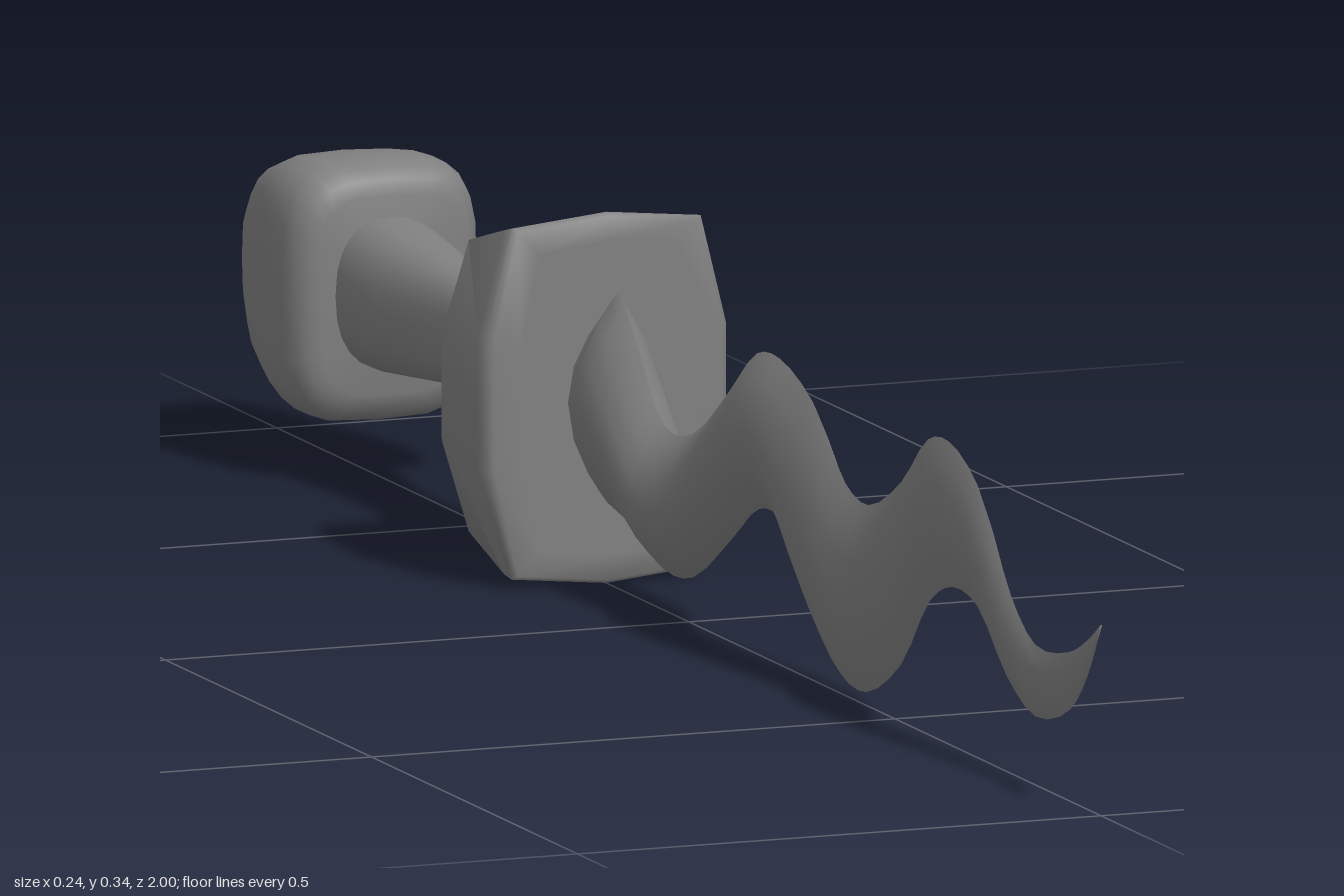
import * as THREE from 'three';
import { toCreasedNormals } from 'three/addons/utils/BufferGeometryUtils.js';

const material = new THREE.MeshStandardMaterial({ color: 0x808080 });
const MID = 0.172; // height of the long axis

// Skin closed rings (counter-clockwise seen from +z, running towards -z) and cap both ends.
function loft(name, rings, crease) {
  const n = rings[0].length;
  const pos = rings.flat(2);
  const index = [];
  for (let i = 0; i < rings.length - 1; i++) {
    for (let j = 0; j < n; j++) {
      const a = i * n + j, b = i * n + (j + 1) % n;
      index.push(a, a + n, b, b, a + n, b + n);
    }
  }
  [0, rings.length - 1].forEach((r) => {
    const centre = pos.length / 3;
    for (let k = 0; k < 3; k++) pos.push(rings[r].reduce((s, p) => s + p[k], 0) / n);
    for (let j = 0; j < n; j++) {
      const a = r * n + j, b = r * n + (j + 1) % n;
      if (r === 0) index.push(centre, a, b);
      else index.push(centre, b, a);
    }
  });
  const geometry = new THREE.BufferGeometry();
  geometry.setAttribute('position', new THREE.Float32BufferAttribute(pos, 3));
  geometry.setIndex(index);
  const mesh = new THREE.Mesh(toCreasedNormals(geometry, crease), material);
  mesh.name = name;
  return mesh;
}

// Ring points from a function of angle.
const ring = (n, fn) => Array.from({ length: n }, (_, j) => fn(j / n * Math.PI * 2));
const power = (v, e) => Math.sign(v) * Math.abs(v) ** e;

// Superellipse ring: squareness 1 is round, smaller is boxier.
const oval = (z, rx, ry, squareness, cy = MID) => ring(24, (a) => [
  rx * power(Math.cos(a), squareness), cy + ry * power(Math.sin(a), squareness), z,
]);

export function createModel() {
  const group = new THREE.Group();
  group.name = 'wavyDagger';

  // Wavy blade: upper edge z, y, then lower edge z, y
  const edges = [
    [1.0, 0.176, 1.0, 0.174], [0.965, 0.155, 0.97, 0.127], [0.92, 0.137, 0.925, 0.086],
    [0.84, 0.13, 0.84, 0.065], [0.78, 0.165, 0.77, 0.09], [0.70, 0.25, 0.70, 0.14],
    [0.63, 0.277, 0.64, 0.147], [0.58, 0.27, 0.585, 0.125], [0.515, 0.22, 0.515, 0.055],
    [0.435, 0.185, 0.43, 0.015], [0.38, 0.195, 0.37, 0.02], [0.30, 0.255, 0.30, 0.06],
    [0.22, 0.28, 0.22, 0.135], [0.165, 0.275, 0.17, 0.135], [0.10, 0.23, 0.11, 0.10],
    [0.01, 0.175, 0.01, 0.045], [-0.06, 0.17, -0.06, 0.04], [-0.115, 0.22, -0.135, 0.065],
    [-0.17, 0.27, -0.19, 0.075], [-0.19, 0.255, -0.22, 0.08], [-0.24, 0.24, -0.25, 0.09],
  ];
  const edgeCurve = (k) => new THREE.CatmullRomCurve3(
    edges.map((e) => new THREE.Vector3(0, e[k + 1], e[k]))).getPoints((edges.length - 1) * 3);
  const upper = edgeCurve(0), lower = edgeCurve(2);
  group.add(loft('blade', upper.map((top, i) => {
    const bottom = lower[i];
    const w = Math.min(0.038, 0.001 + 0.032 * (1 - top.z)); // narrows towards the tip
    return ring(16, (a) => {
      const p = bottom.clone().lerp(top, (1 + Math.sin(a)) / 2);
      return [w * power(Math.cos(a), 2), p.y, p.z];
    });
  }), 1.2));

  // Guard: bowed rectangular block, tapering in height towards the grip
  const corner = [[0.118, -0.06], [0.118, 0], [0.118, 0.06], [0.093, 0.158], [0, 0.167]];
  const outline = [...corner, ...corner.slice(0, 4).reverse().map(([x, y]) => [-x, y]),
    [-0.093, -0.158], [0, -0.167], [0.093, -0.158]];
  const guardRings = [
    [-0.197, 0.7, 0.85], [-0.197, 0.92, 0.985], [-0.201, 0.97, 1.005], [-0.212, 1, 0.985],
    [-0.298, 1, 0.835], [-0.31, 0.97, 0.77], [-0.317, 0.91, 0.68], [-0.32, 0.6, 0.5],
  ];
  group.add(loft('guard', guardRings.map(([z, sx, sy]) =>
    outline.map(([x, y]) => [x * sx, 0.171 + y * sy, z])), 1.2));

  // Waisted grip, flared where it meets the guard: z, half width, half height
  const gripRings = [
    [-0.3, 0.08, 0.1], [-0.318, 0.07, 0.084], [-0.324, 0.056, 0.068], [-0.34, 0.048, 0.06],
    [-0.4, 0.04, 0.054], [-0.48, 0.033, 0.05], [-0.56, 0.037, 0.054], [-0.64, 0.048, 0.062],
    [-0.7, 0.053, 0.068], [-0.75, 0.053, 0.07],
  ];
  group.add(loft('grip', gripRings.map(([z, rx, ry]) => oval(z, rx, ry, 0.85, 0.174)), 1.2));

  // Pommel: rounded block drawn to a blunt horizontal ridge
  const pommelRings = [
    [-0.723, 0.066, 0.09], [-0.727, 0.078, 0.104], [-0.738, 0.088, 0.113], [-0.755, 0.092, 0.118],
    [-0.79, 0.093, 0.118], [-0.84, 0.084, 0.111], [-0.89, 0.073, 0.095], [-0.94, 0.057, 0.06],
    [-0.975, 0.04, 0.027], [-0.993, 0.024, 0.009], [-1.0, 0.01, 0.002],
  ];
  group.add(loft('pommel', pommelRings.map(([z, rx, ry]) => oval(z, rx, ry, 0.5)), 1.2));

  return group;
}
